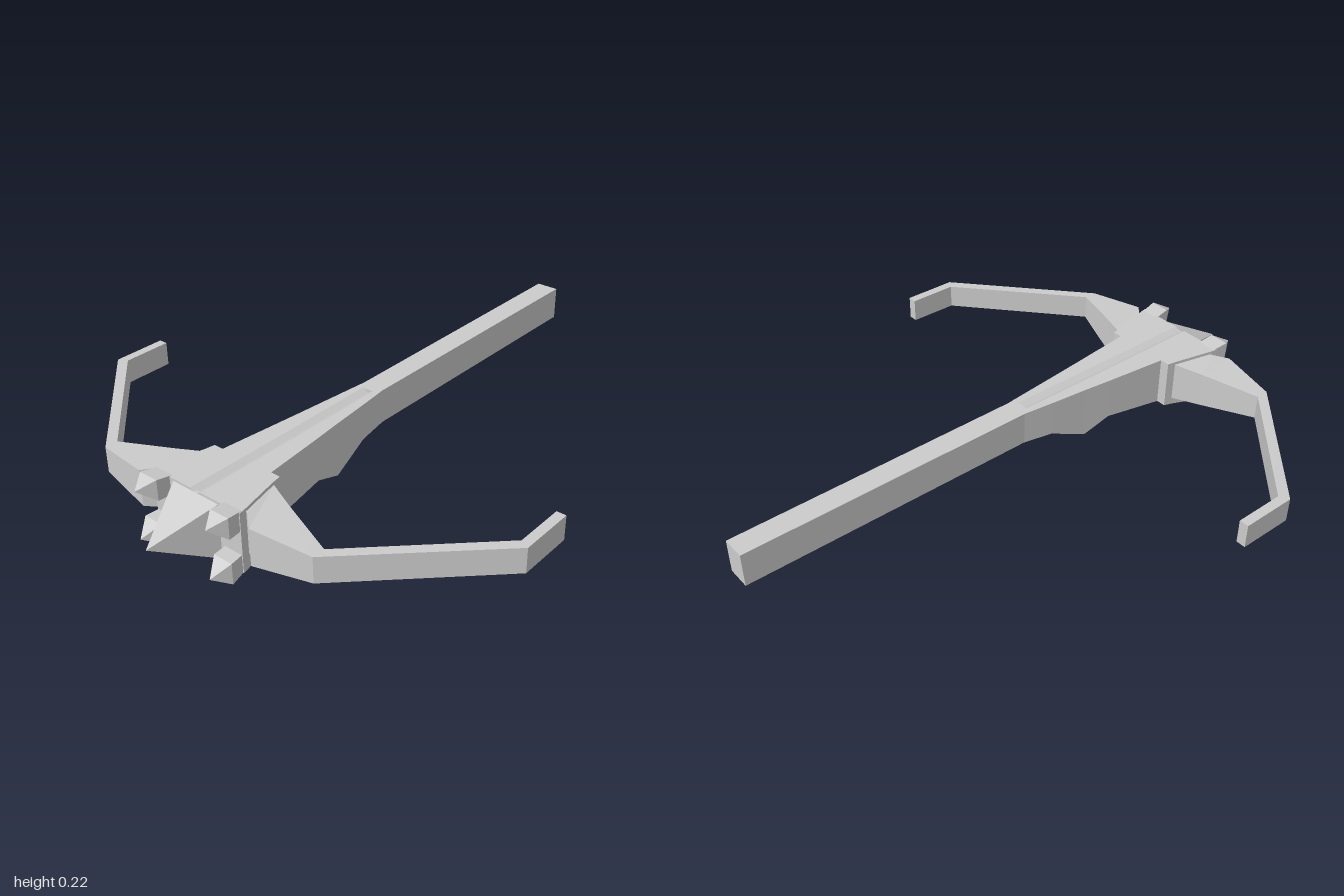
import * as THREE from 'three';

const material = new THREE.MeshStandardMaterial({ color: 0xcccccc, flatShading: true });

// Skin a list of equal-length rings, each counter-clockwise seen from the far end
function loft(name, rings) {
  const pos = [];
  const tri = (a, b, c) => pos.push(...a, ...b, ...c);
  const n = rings[0].length;
  for (let r = 0; r < rings.length - 1; r++) {
    const A = rings[r], B = rings[r + 1];
    for (let i = 0; i < n; i++) {
      const j = (i + 1) % n;
      tri(A[i], A[j], B[j]);
      tri(A[i], B[j], B[i]);
    }
  }
  const first = rings[0], last = rings[rings.length - 1];
  for (let i = 1; i < n - 1; i++) {
    tri(first[0], first[i + 1], first[i]);
    tri(last[0], last[i], last[i + 1]);
  }
  const geo = new THREE.BufferGeometry();
  geo.setAttribute('position', new THREE.Float32BufferAttribute(pos, 3));
  geo.computeVertexNormals();
  const mesh = new THREE.Mesh(geo, material);
  mesh.name = name;
  return mesh;
}

// Rectangle ring in a plane of constant z
const rect = (x0, x1, y0, y1, z) => [[x0, y0, z], [x1, y0, z], [x1, y1, z], [x0, y1, z]];

// Mirror rings across x, keeping the faces outward
const mirror = (rings, s) =>
  s > 0 ? rings : rings.map(r => r.map(([x, y, z]) => [-x, y, z]).reverse());

export function createModel() {
  const model = new THREE.Group();
  model.name = 'crossbow';

  // Stock: z, half width, bottom, top, depth of the bolt groove
  const sections = [
    [-1, 0.04, 0.1, 0.217, 0],
    [0.04, 0.04, 0.1, 0.217, 0],
    [0.065, 0.043, 0.098, 0.217, 0],
    [0.065, 0.043, 0.098, 0.217, 0.012],
    [0.15, 0.052, 0.09, 0.216, 0.012],
    [0.29, 0.066, 0.028, 0.215, 0.012],
    [0.39, 0.077, 0.064, 0.214, 0.012],
    [0.61, 0.1, 0.04, 0.213, 0.012],
    [0.61, 0.134, 0.04, 0.213, 0.012],
    [0.645, 0.14, 0.035, 0.213, 0.012],
    [0.79, 0.174, 0.012, 0.213, 0.012],
    [0.81, 0.177, 0.01, 0.213, 0.012],
  ];
  const g = 0.021;
  model.add(loft('stock', sections.map(([z, w, b, t, d]) => [
    [0, t - d, z], [-g, t, z], [-w, t, z], [-w, b, z], [w, b, z], [w, t, z], [g, t, z],
  ])));

  // Pointed nose
  model.add(loft('nose', [
    rect(-0.092, 0.092, 0.02, 0.205, 0.8),
    rect(-0.092, 0.092, 0.02, 0.205, 0.81),
    rect(0, 0, 0.113, 0.113, 1),
  ]));

  // Bow limb: rear/inner point [x, z], front/outer point [x, z], bottom, top
  const limb = [
    [[0.1, 0.625], [0.1, 0.745], 0.06, 0.205],
    [[0.14, 0.64], [0.18, 0.785], 0.062, 0.202],
    [[0.235, 0.677], [0.225, 0.825], 0.068, 0.193],
    [[0.425, 0.745], [0.425, 0.79], 0.088, 0.175],
    [[0.808, 0.388], [0.84, 0.405], 0.098, 0.182],
    [[0.808, 0.215], [0.84, 0.215], 0.1, 0.183],
  ].map(([[rx, rz], [fx, fz], b, t]) => [[fx, b, fz], [rx, b, rz], [rx, t, rz], [fx, t, fz]]);

  for (const s of [1, -1]) {
    const side = s > 0 ? 'left' : 'right';
    model.add(loft(side + 'Limb', mirror(limb, s)));

    // Upper and lower pointed prongs beside the nose
    for (const [level, y0, y1, tipY] of [['Upper', 0.152, 0.222, 0.195], ['Lower', 0, 0.07, 0.03]]) {
      const back = level === 'Upper' ? [0.15, 0.21] : [0.016, 0.072];
      model.add(loft(side + level + 'Prong', mirror([
        rect(0.105, 0.17, ...back, 0.78),
        rect(0.11, 0.18, y0, y1, 0.855),
        rect(0.145, 0.145, tipY, tipY, 0.908),
      ], s)));
    }
  }
  return model;
}
